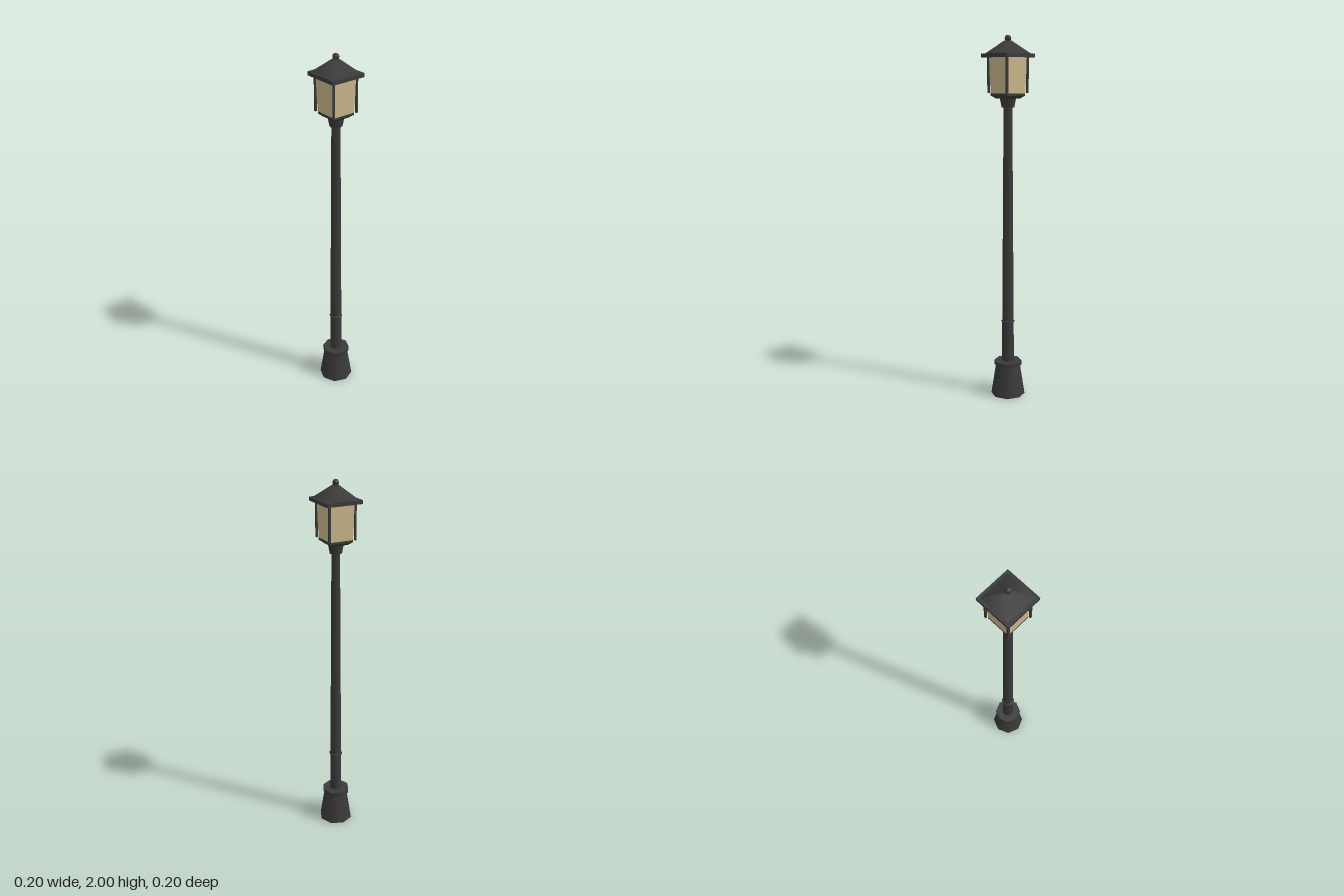
import * as THREE from 'three';

const metal = new THREE.MeshStandardMaterial({ color: 0x3a3a3a });
metal.name = 'dark metal';
const glass = new THREE.MeshStandardMaterial({ color: 0xcdb88c });
glass.name = 'warm glass';

export function createModel() {
  const model = new THREE.Group();
  model.name = 'streetLamp';

  const add = (name, geometry, material = metal) => {
    const mesh = new THREE.Mesh(geometry, material);
    mesh.name = name;
    model.add(mesh);
    return mesh;
  };

  // Eight-sided tapered section between two heights
  const round = (name, r0, r1, y0, y1) =>
    add(name, new THREE.CylinderGeometry(r1, r0, y1 - y0, 8).translate(0, (y0 + y1) / 2, 0));

  // Square tapered section, given half widths
  const square = (half0, half1, y0, y1, open = false) =>
    new THREE.CylinderGeometry(half1 * Math.SQRT2, half0 * Math.SQRT2, y1 - y0, 4, 1, open)
      .rotateY(Math.PI / 4).translate(0, (y0 + y1) / 2, 0);

  const flat = (geometry) => {
    const g = geometry.toNonIndexed();
    g.computeVertexNormals();
    return g;
  };

  // Foot and pole
  round('base', 0.095, 0.068, 0, 0.175);
  round('baseCollar', 0.077, 0.077, 0.172, 0.198);
  round('pole', 0.034, 0.0235, 0.19, 1.63);
  add('poleRing', new THREE.TorusGeometry(0.032, 0.006, 6, 8).rotateX(Math.PI / 2).translate(0, 0.43, 0));

  // Lantern support
  round('neck', 0.034, 0.044, 1.622, 1.675);
  add('lanternFloor', flat(square(0.046, 0.065, 1.67, 1.685)));
  add('lanternFloorPlate', flat(square(0.065, 0.065, 1.685, 1.697)));

  // Glass panes, narrowing downward, with upright corner posts
  add('lanternGlass', flat(square(0.065, 0.073, 1.697, 1.89, true)), glass);
  for (const x of [-1, 1]) {
    for (const z of [-1, 1]) {
      add('cornerPost', new THREE.BoxGeometry(0.01, 0.19, 0.01))
        .position.set(x * 0.073, 1.793, z * 0.073);
    }
  }

  // Roof and finial
  add('roofBrim', new THREE.BoxGeometry(0.2, 0.02, 0.2).translate(0, 1.894, 0));
  add('roof', square(0.087, 0.014, 1.903, 1.97));
  add('finial', new THREE.SphereGeometry(0.0175, 8, 6).translate(0, 1.9825, 0));

  return model;
}
